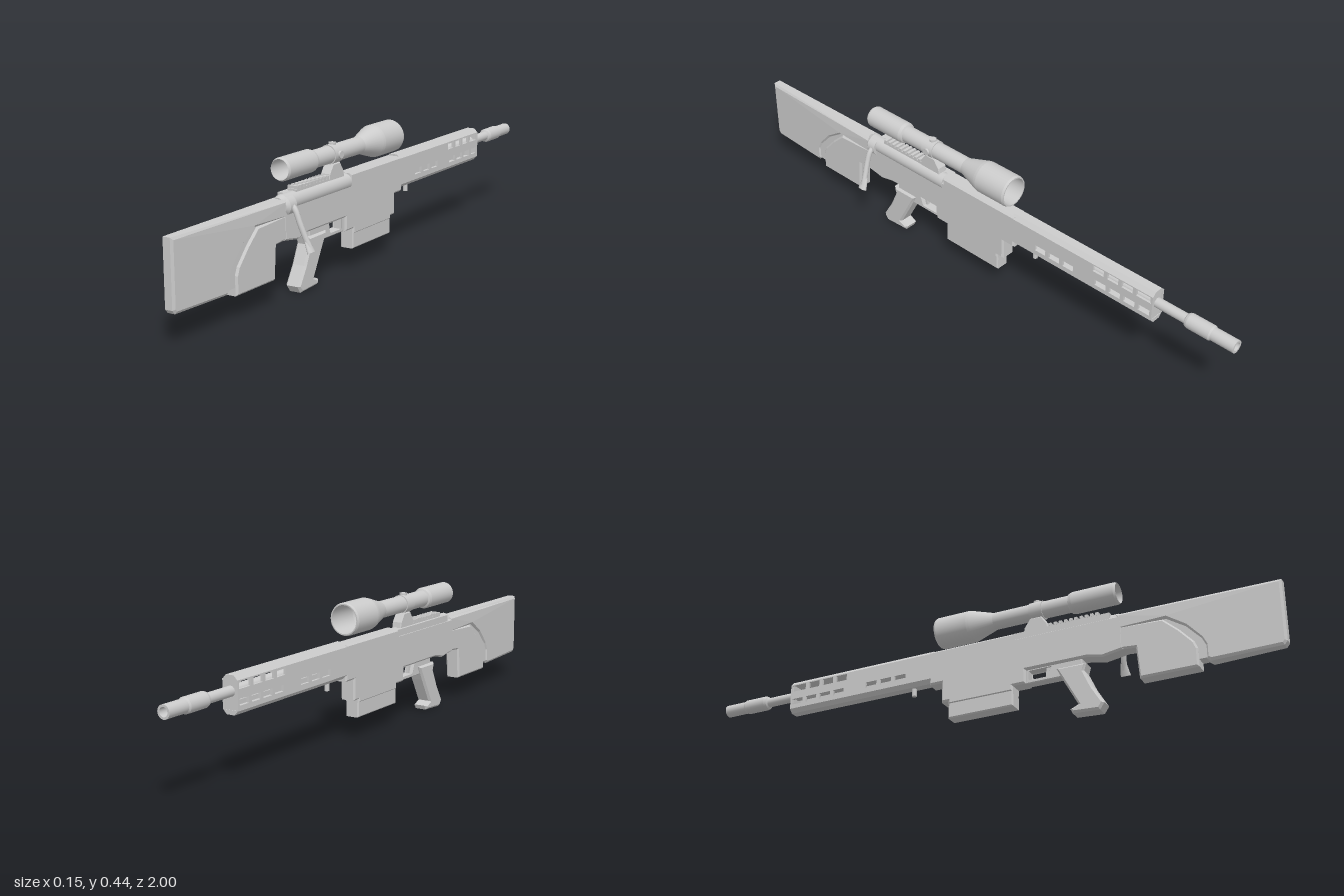
import * as THREE from 'three';

const CX = -0.023; // centre plane of the body
const mat = new THREE.MeshStandardMaterial({ color: 0xcccccc, side: THREE.DoubleSide });

export function createModel() {
  const model = new THREE.Group();
  model.name = 'rifle';

  const add = (name, geo, x = 0, y = 0, z = 0) => {
    const m = new THREE.Mesh(geo, mat);
    m.name = name;
    m.position.set(x, y, z);
    model.add(m);
    return m;
  };

  // Side outline given as [z, y], extruded across x with chamfered edges
  const slab = (pts, half, bevel = 0.006, holes = []) => {
    const toV = (p) => p.map(([z, y]) => new THREE.Vector2(-z, y));
    const shape = new THREE.Shape(toV(pts));
    holes.forEach((h) => shape.holes.push(new THREE.Path(toV(h))));
    const depth = 2 * (half - bevel);
    const geo = new THREE.ExtrudeGeometry(shape, {
      depth, bevelEnabled: bevel > 0, bevelSize: bevel, bevelThickness: bevel,
      bevelOffset: -bevel, bevelSegments: 1,
    });
    geo.translate(0, 0, -depth / 2);
    geo.rotateY(Math.PI / 2);
    return geo;
  };
  const rect = (z0, z1, y0, y1) => [[z0, y0], [z1, y0], [z1, y1], [z0, y1]];

  // Turned part along z; profile given as [radius, z], sharp between segments
  const turned = (profile, sides = 24) => {
    const parts = new THREE.LatheGeometry(
      profile.flatMap(([r, z]) => [new THREE.Vector2(r, -z), new THREE.Vector2(r, -z)]), sides);
    parts.rotateX(-Math.PI / 2);
    return parts;
  };

  // Butt narrows toward its rear end
  const taper = (geo) => {
    const p = geo.attributes.position;
    for (let i = 0; i < p.count; i++) {
      const t = THREE.MathUtils.clamp((p.getZ(i) - 0.6) / 0.4, 0, 1);
      p.setX(i, p.getX(i) * (1 - 0.35 * t));
    }
    geo.computeVertexNormals();
    return geo;
  };

  // Stock: butt, lower block and the recessed groove between them
  add('buttStock', taper(slab([
    [1, 0.307], [0.48, 0.307], [0.48, 0.25], [0.64, 0.255], [0.70, 0.215], [0.745, 0.165],
    [0.757, 0.14], [0.757, 0.098], [0.77, 0.088], [0.99, 0.093], [1, 0.105],
  ], 0.027, 0.008)), CX);
  add('stockBlock', slab([
    [0.735, 0.075], [0.548, 0.075], [0.54, 0.18], [0.48, 0.185], [0.48, 0.262], [0.63, 0.255],
    [0.68, 0.21], [0.725, 0.16], [0.735, 0.135],
  ], 0.026), CX);
  add('stockGroove', slab([
    [0.775, 0.10], [0.775, 0.17], [0.70, 0.25], [0.60, 0.28], [0.58, 0.2], [0.72, 0.10],
  ], 0.019, 0), CX);

  // Receiver with lowered ledge for the bolt
  add('receiver', slab([
    [0.5, 0.300], [0.14, 0.300], [0.14, 0.319], [-0.175, 0.319], [-0.175, 0.2], [-0.13, 0.2],
    [-0.13, 0.13], [-0.105, 0.13], [-0.105, 0.118], [0.125, 0.118], [0.125, 0.137], [0.17, 0.137],
    [0.17, 0.183], [0.38, 0.183], [0.43, 0.172], [0.5, 0.183],
  ], 0.027), CX);
  add('receiverLeftWall', new THREE.BoxGeometry(0.022, 0.03, 0.33), CX - 0.015, 0.302, 0.295);
  add('magazine', slab([[0.125, 0.07], [-0.105, 0.07], [-0.105, 0.16], [0.125, 0.16]], 0.024, 0.004), CX);

  // Trigger guard, trigger and grip
  add('triggerGuard', slab(rect(0.165, 0.36, 0.137, 0.19), 0.017, 0.003,
    [[[0.175, 0.145], [0.245, 0.145], [0.26, 0.183], [0.175, 0.183]]]), CX);
  add('trigger', slab([[0.25, 0.185], [0.235, 0.185], [0.232, 0.15], [0.238, 0.15]], 0.006, 0), CX);
  add('grip', slab([
    [0.375, 0.165], [0.275, 0.165], [0.30, 0.115], [0.345, 0.032], [0.318, 0.02], [0.325, 0.005],
    [0.415, 0], [0.43, 0.022], [0.395, 0.08], [0.368, 0.14],
  ], 0.026, 0.007), CX);

  // Bolt tube, collar and swept handle
  add('bolt', turned([[0, 0.5], [0.02, 0.5], [0.027, 0.485], [0.027, 0.14], [0, 0.14]]), -0.019, 0.291, 0);
  add('boltCollar', turned([[0, 0.495], [0.022, 0.495], [0.031, 0.485], [0.031, 0.453], [0, 0.453]]), -0.015, 0.284, 0);
  const handlePath = new THREE.CatmullRomCurve3([
    [0.0, 0.288, 0.465], [0.018, 0.275, 0.468], [0.035, 0.235, 0.468], [0.05, 0.195, 0.464], [0.064, 0.163, 0.46],
  ].map((p) => new THREE.Vector3(...p)));
  add('boltHandle', new THREE.TubeGeometry(handlePath, 14, 0.009, 10));
  const knob = add('boltKnob', new THREE.CylinderGeometry(0.010, 0.017, 0.042, 14), 0.061, 0.167, 0.461);
  knob.scale.x = 0.55;
  knob.rotation.z = 0.42;

  // Toothed rail on the receiver
  add('railBase', new THREE.BoxGeometry(0.032, 0.02, 0.18), CX, 0.313, 0.335);
  for (let i = 0; i < 10; i++) {
    add('railTooth', new THREE.BoxGeometry(0.036, 0.01, 0.01), CX, 0.327, 0.255 + i * 0.0178);
  }

  // Handguard: pierced side plates with chamfered top and bottom caps
  const slots = [];
  [0, 1, 2, 3].forEach((i) => {
    const z = -0.495 - i * 0.055;
    slots.push(rect(z, z - (i === 3 ? 0.055 : 0.042), 0.286, 0.308));
    slots.push(rect(z - 0.01, z - 0.052, 0.238, 0.258));
  });
  [0, 1, 2].forEach((i) => slots.push(rect(-0.265 - i * 0.056, -0.307 - i * 0.056, 0.24, 0.26)));
  [-1, 1].forEach((s) => add(s > 0 ? 'handguardLeft' : 'handguardRight',
    slab(rect(-0.165, -0.72, 0.223, 0.312), 0.004, 0, slots), CX + s * 0.023));
  const cap = (name, y, dir) => {
    const shape = new THREE.Shape([[-0.027, 0], [0.027, 0], [0.014, 0.014], [-0.014, 0.014]]
      .map(([x, v]) => new THREE.Vector2(x, v * dir)));
    add(name, new THREE.ExtrudeGeometry(shape, { depth: 0.555, bevelEnabled: false }), CX, y, -0.72);
  };
  cap('handguardTop', 0.311, 1);
  cap('handguardBottom', 0.224, -1);
  add('handguardFrontPlate', new THREE.BoxGeometry(0.048, 0.09, 0.008), CX, 0.267, -0.714);
  add('handguardStud', new THREE.CylinderGeometry(0.008, 0.008, 0.03, 10), CX, 0.199, -0.245);

  // Barrel and open muzzle brake
  add('barrel', turned([[0.016, -0.17], [0.016, -0.84]]), CX, 0.278, 0);
  add('muzzleBrake', turned([
    [0.014, -0.825], [0.022, -0.83], [0.0245, -0.838], [0.0245, -0.915], [0.021, -0.92], [0.021, -1],
    [0.014, -1], [0.014, -0.93], [0, -0.93],
  ]), CX, 0.278, 0);

  // See-through scope: outer skin returning along the bore
  const SY = 0.392;
  add('scope', turned([
    [0.032, 0.485], [0.036, 0.478], [0.036, 0.335], [0.033, 0.325], [0.028, 0.322], [0.028, 0.055],
    [0.051, -0.02], [0.053, -0.03], [0.053, -0.142], [0.05, -0.149], [0.046, -0.149], [0.046, -0.03],
    [0.026, 0.05], [0.026, 0.34], [0.032, 0.40], [0.032, 0.485],
  ], 32), CX, SY, 0);
  add('scopeRing', turned([[0.028, 0.23], [0.031, 0.23], [0.031, 0.185], [0.028, 0.185]]), CX, SY, 0);
  add('scopeMount', slab([
    [0.25, 0.305], [0.16, 0.305], [0.165, 0.335], [0.185, 0.364], [0.225, 0.364], [0.245, 0.335],
  ], 0.017, 0.003), CX);
  add('elevationTurret', new THREE.CylinderGeometry(0.012, 0.012, 0.012, 16), CX, SY + 0.03, 0.205);
  const windage = add('windageTurret', new THREE.CylinderGeometry(0.012, 0.012, 0.012, 16), CX + 0.03, SY, 0.205);
  windage.rotation.z = Math.PI / 2;

  return model;
}
